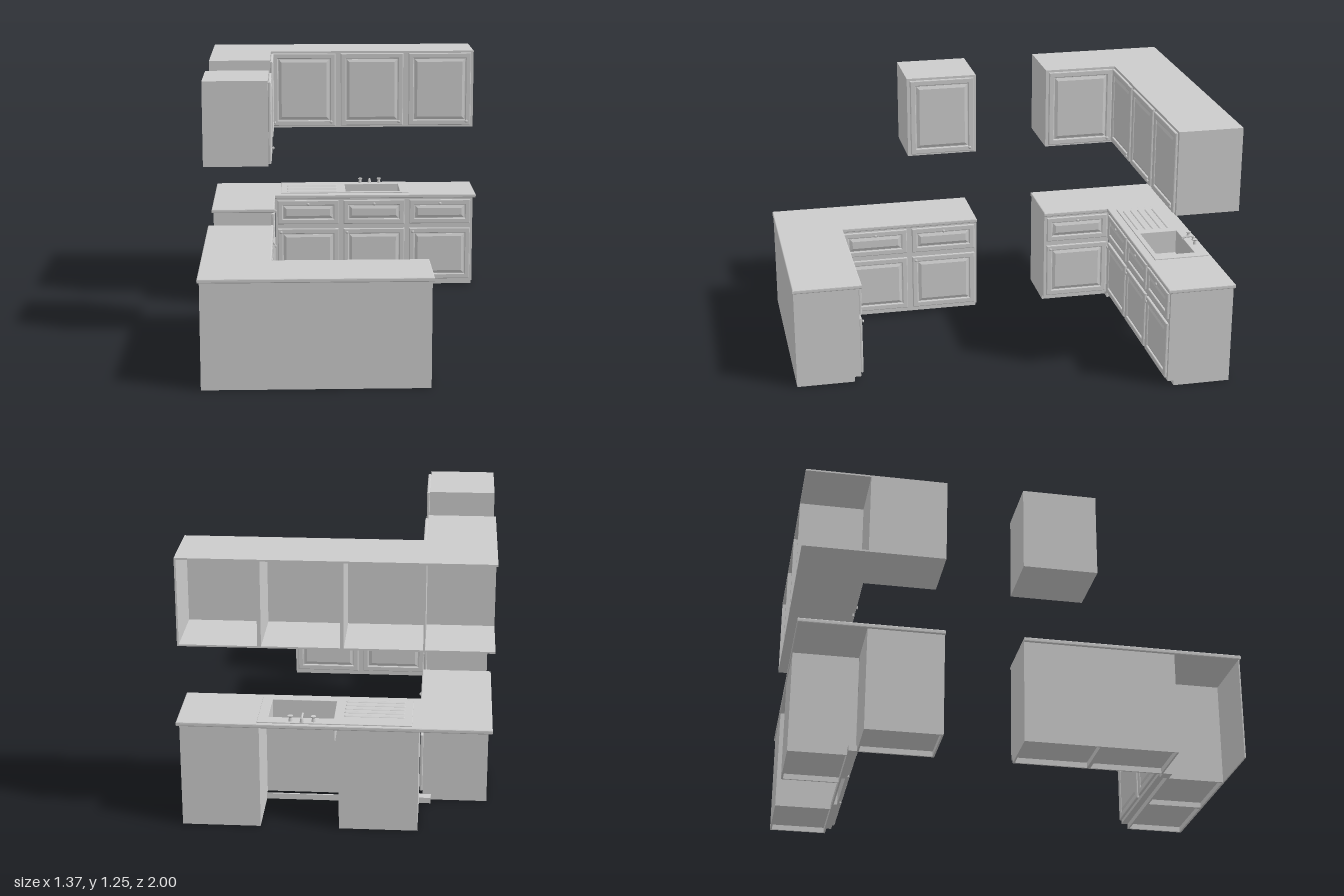
import * as THREE from 'three';

const MAT = new THREE.MeshStandardMaterial({ color: 0xcccccc, side: THREE.DoubleSide });
const T = 0.008; // board thickness
const QUARTER = Math.PI / 2;

function add(parent, name, geo, x = 0, y = 0, z = 0) {
  const m = new THREE.Mesh(geo, MAT);
  m.name = name;
  m.position.set(x, y, z);
  parent.add(m);
  return m;
}

// Box given by its minimum and maximum corners
function board(parent, name, x0, x1, y0, y1, z0, z1) {
  return add(parent, name, new THREE.BoxGeometry(x1 - x0, y1 - y0, z1 - z0),
    (x0 + x1) / 2, (y0 + y1) / 2, (z0 + z1) / 2);
}

function rect(Type, x0, x1, y0, y1) {
  return new Type([[x0, y0], [x1, y0], [x1, y1], [x0, y1]].map(p => new THREE.Vector2(...p)));
}

// Extrusion with a bevel that stays inside the outline
function bevelled(shape, depth, size, thick, segments = 1) {
  const g = new THREE.ExtrudeGeometry(shape, {
    depth: depth - 2 * thick, bevelEnabled: true, bevelSize: size,
    bevelOffset: -size, bevelThickness: thick, bevelSegments: segments,
  });
  g.translate(0, 0, thick);
  return g;
}

// Horizontal slab from a plan outline whose second coordinate is -z
function slab(parent, name, shape, y, height, bevel) {
  const g = bevelled(shape, height, bevel, bevel, 3);
  g.rotateX(-QUARTER);
  return add(parent, name, g, 0, y, 0);
}

// Framed front with a raised field and a round knob
function panelFront(parent, name, x0, x1, y0, y1, knobX, knobY) {
  const g = new THREE.Group();
  g.name = name;
  parent.add(g);
  const f = 0.027, r = f + 0.004;
  const frame = rect(THREE.Shape, x0, x1, y0, y1);
  frame.holes.push(rect(THREE.Path, x0 + f, x1 - f, y0 + f, y1 - f));
  add(g, 'frame', bevelled(frame, 0.014, 0.004, 0.004, 2));
  board(g, 'backing', x0 + 0.005, x1 - 0.005, y0 + 0.005, y1 - 0.005, -0.001, 0.004);
  add(g, 'raisedField', bevelled(rect(THREE.Shape, x0 + r, x1 - r, y0 + r, y1 - r), 0.013, 0.014, 0.006));
  const knob = new THREE.LatheGeometry([[0, 0.011], [0.005, 0.010], [0.008, 0.007], [0.007, 0.004],
    [0.003, 0.003], [0.003, 0]].map(p => new THREE.Vector2(...p)).reverse(), 16);
  knob.rotateX(QUARTER);
  add(g, 'knob', knob, knobX, knobY, 0.013);
}

// Base unit: face at z = 0, looking along +z, starting at local x
function baseUnit(run, x, w, depth, open = false) {
  const g = new THREE.Group();
  g.name = 'baseUnit';
  g.position.x = x;
  run.add(g);
  board(g, 'face', 0, w, 0.025, 0.477, -T, 0);
  board(g, 'plinth', 0, w, 0, 0.027, -0.03 - T, -0.03);
  if (!open) {
    for (const sx of [0, w - T]) {
      board(g, 'side', sx, sx + T, 0.025, 0.477, -depth, 0);
      board(g, 'sideFoot', sx, sx + T, 0, 0.025, -depth, -0.03);
    }
    board(g, 'floor', 0, w, 0.025, 0.025 + T, -depth, 0);
    board(g, 'back', 0, w, 0, 0.477, -depth, -depth + T);
  }
  const m = 0.013;
  panelFront(g, 'door', m, w - m, 0.038, 0.313, m + 0.017, 0.295);
  panelFront(g, 'drawer', m, w - m, 0.338, 0.465, w / 2, 0.446);
}

// Wall unit with the same local frame
function wallUnit(run, x, w, depth, closed) {
  const g = new THREE.Group();
  g.name = 'wallUnit';
  g.position.x = x;
  run.add(g);
  const y0 = 0.85, y1 = 1.245;
  board(g, 'face', 0, w, y0, y1, -T, 0);
  for (const sx of [0, w - T]) board(g, 'side', sx, sx + T, y0, y1, -depth, 0);
  board(g, 'bottom', 0, w, y0, y0 + T, -depth, 0);
  board(g, 'top', 0, w, y1 - T, y1, -depth, 0);
  if (closed) board(g, 'back', 0, w, y0, y1, -depth, -depth + T);
  panelFront(g, 'door', 0.014, w - 0.014, y0 + 0.01, y1 - 0.01, w - 0.036, 0.88);
}

function makeRun(parent, name, x, z, turn) {
  const g = new THREE.Group();
  g.name = name;
  g.position.set(x, 0, z);
  g.rotation.y = turn;
  parent.add(g);
  return g;
}

function makeSink(root) {
  const sink = new THREE.Group();
  sink.name = 'sink';
  root.add(sink);
  const [x0, x1, z0, z1] = [0.0, 0.285, -0.93, -0.745];

  // Rim plate with the basin opening
  const plate = rect(THREE.Shape, -0.34, 0.33, 0.72, 0.985);
  plate.holes.push(rect(THREE.Path, x0, x1, -z1, -z0));
  slab(sink, 'rimPlate', plate, 0.492, 0.008, 0.002);

  // Basin and waste
  const yb = 0.38, t = 0.004;
  board(sink, 'basinFloor', x0 - t, x1 + t, yb, yb + t, z0 - t, z1 + t);
  for (const x of [x0 - t, x1]) board(sink, 'basinSide', x, x + t, yb, 0.495, z0 - t, z1 + t);
  for (const z of [z0 - t, z1]) board(sink, 'basinWall', x0, x1, yb, 0.495, z, z + t);
  add(sink, 'waste', new THREE.CylinderGeometry(0.02, 0.017, 0.024, 20), (x0 + x1) / 2, yb - 0.006, (z0 + z1) / 2);

  // Drainer ribs
  for (let i = 0; i < 5; i++) {
    const rib = new THREE.CapsuleGeometry(0.008, 0.25, 4, 10);
    rib.rotateZ(QUARTER);
    rib.scale(1, 0.6, 1);
    add(sink, 'drainerRib', rib, -0.175, 0.499, -0.75 - i * 0.038);
  }

  // Two taps and a spout
  for (const x of [0.085, 0.185]) {
    add(sink, 'tapBase', new THREE.CylinderGeometry(0.006, 0.01, 0.02, 14), x, 0.508, -0.965);
    add(sink, 'tapHandle', new THREE.CylinderGeometry(0.012, 0.009, 0.007, 14), x, 0.521, -0.965);
  }
  add(sink, 'spoutBase', new THREE.CylinderGeometry(0.006, 0.01, 0.022, 14), 0.135, 0.508, -0.975);
  const path = new THREE.CatmullRomCurve3([[0.505, -0.975], [0.518, -0.97], [0.521, -0.95], [0.517, -0.925], [0.51, -0.918]]
    .map(([y, z]) => new THREE.Vector3(0.135, y, z)));
  add(sink, 'spout', new THREE.TubeGeometry(path, 20, 0.005, 10));
}

export function createModel() {
  const root = new THREE.Group();
  root.name = 'kitchen';
  const W = 0.345;

  // Rear base cabinets; the middle bay is open behind for the sink
  const rear = makeRun(root, 'rearBaseRun', -0.37, -0.695, 0);
  for (let i = 0; i < 3; i++) baseUnit(rear, i * W, W, 0.3, i === 1);
  baseUnit(makeRun(root, 'rearBaseReturn', -0.385, -0.353, QUARTER), 0, 0.342, 0.29);

  // Peninsula base cabinets
  const pen = makeRun(root, 'peninsulaRun', 0.32, 0.695, Math.PI);
  const ret = makeRun(root, 'peninsulaReturn', -0.385, 0.69, QUARTER);
  for (let i = 0; i < 2; i++) {
    baseUnit(pen, i * W, W, 0.3);
    baseUnit(ret, i * W, W, 0.29);
  }
  board(root, 'peninsulaBackPanel', -0.675, 0.32, 0, 0.477, 0.99, 0.996);

  // Plinth pieces closing the inner corners
  board(root, 'cornerPlinth', -0.423, -0.37, 0, 0.027, -0.733, -0.69);
  board(root, 'cornerPlinth', -0.423, -0.37, 0, 0.027, 0.69, 0.733);

  // Worktops
  const pts = a => new THREE.Shape(a.map(([x, z]) => new THREE.Vector2(x, -z)));
  const top = pts([[-0.685, -0.35], [-0.37, -0.35], [-0.37, -0.68], [0.68, -0.68], [0.68, -1], [-0.685, -1]]);
  top.holes.push(rect(THREE.Path, -0.006, 0.291, 0.739, 0.936));
  slab(root, 'rearWorktop', top, 0.475, 0.02, 0.005);
  slab(root, 'peninsulaWorktop', pts([[-0.685, 1], [0.33, 1], [0.33, 0.68], [-0.37, 0.68], [-0.37, 0], [-0.685, 0]]), 0.475, 0.02, 0.005);
  makeSink(root);

  // Wall cabinets: rear ones open at the back, corner with top and bottom only
  const wall = makeRun(root, 'rearWallRun', -0.39, -0.703, 0);
  for (let i = 0; i < 3; i++) wallUnit(wall, i * 0.35, 0.35, 0.297, false);
  wallUnit(makeRun(root, 'rearWallReturn', -0.385, -0.353, QUARTER), 0, 0.35, 0.3, true);
  for (const y of [0.85, 1.245 - T]) board(root, 'wallCorner', -0.685, -0.39, y, y + T, -1, -0.703);
  wallUnit(makeRun(root, 'singleWallCabinet', -0.385, 0.342, QUARTER), 0, 0.342, 0.3, true);
  return root;
}
